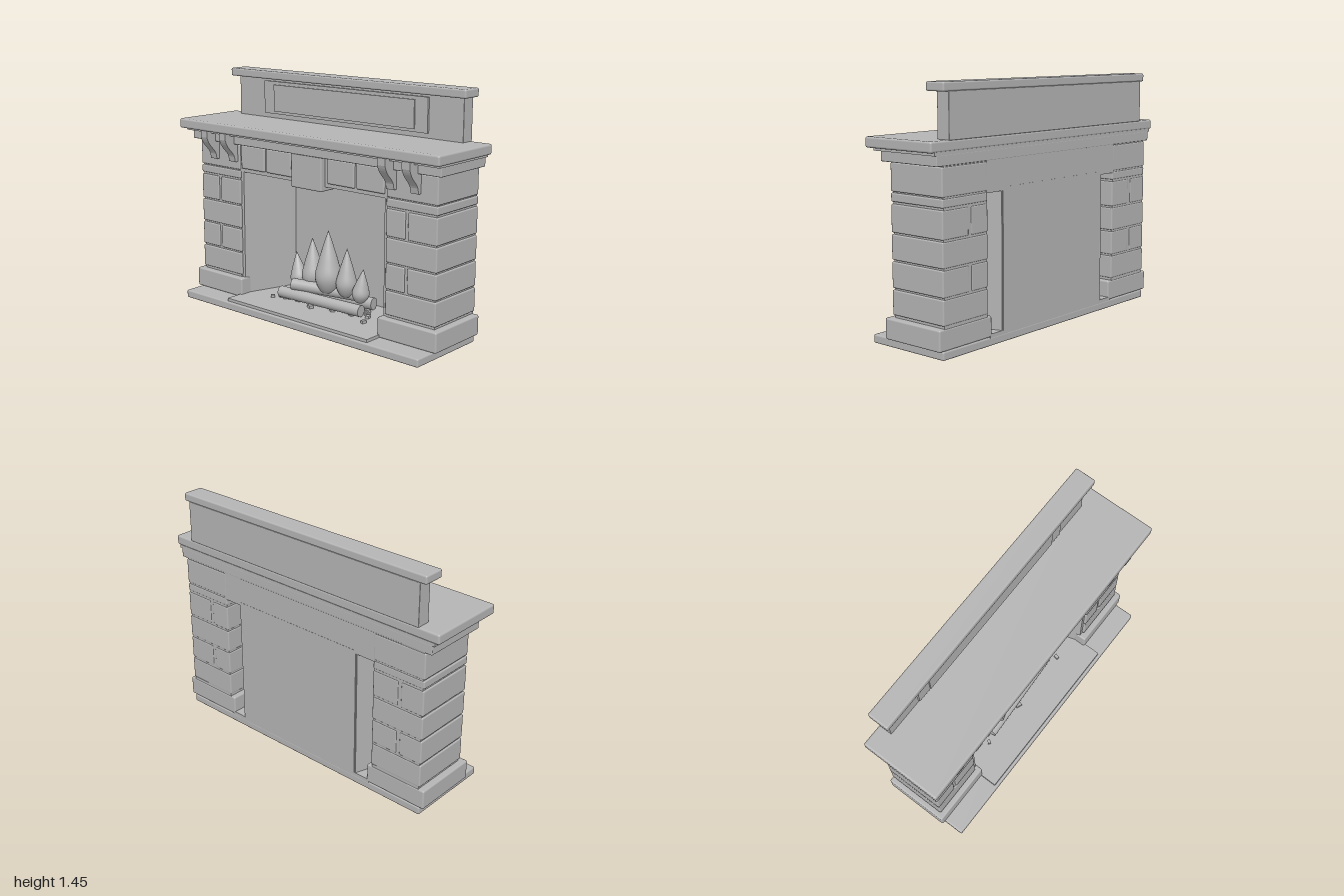
import * as THREE from 'three';
import { RoundedBoxGeometry } from 'three/addons/geometries/RoundedBoxGeometry.js';

export function createModel() {
  const root = new THREE.Group();
  root.name = 'fireplace';
  const stone = new THREE.MeshStandardMaterial({ color: 0xb4b4b4 });
  stone.name = 'grey stone';
  const BACK = -0.27;

  const add = (name, geometry, parent = root) => {
    const mesh = new THREE.Mesh(geometry, stone);
    mesh.name = name;
    parent.add(mesh);
    return mesh;
  };
  // Boxes are given by their limits; r is the softened edge
  const block = (name, x0, x1, y0, y1, z0, z1, r = 0, parent = root) => {
    const size = [x1 - x0, y1 - y0, z1 - z0];
    const geo = r ? new RoundedBoxGeometry(...size, 2, r) : new THREE.BoxGeometry(...size);
    const mesh = add(name, geo, parent);
    mesh.position.set((x0 + x1) / 2, (y0 + y1) / 2, (z0 + z1) / 2);
    return mesh;
  };
  const group = (name) => {
    const g = new THREE.Group();
    g.name = name;
    root.add(g);
    return g;
  };

  // Base and hearth
  block('baseSlab', -0.925, 0.925, 0, 0.05, BACK, 0.27, 0.01);
  block('hearthPlate', -0.56, 0.56, 0.045, 0.068, BACK, 0.253);

  // Pillars: a core wrapped in courses of stone, some split in two
  const courses = [
    [0.185, 0.325, false], [0.335, 0.48, true], [0.49, 0.63, false],
    [0.64, 0.795, true], [0.807, 0.855, false], [0.862, 1.02, false],
  ];
  for (const side of [-1, 1]) {
    const pillar = group(side > 0 ? 'leftPillar' : 'rightPillar');
    const span = (a, b) => (side > 0 ? [a, b] : [-b, -a]);
    block('plinth', ...span(0.545, 0.952), 0.05, 0.17, BACK, 0.145, 0.01, pillar);
    block('pillarCore', ...span(0.58, 0.912), 0.06, 1.03, BACK + 0.003, 0.106, 0, pillar);
    const [x0, x1] = span(0.575, 0.922);
    const joint = side > 0 ? 0.715 : -0.76;
    for (const [y0, y1, split] of courses) {
      const parts = split ? [[x0, joint - 0.01], [joint + 0.01, x1]] : [[x0, x1]];
      for (const [a, b] of parts) block('pillarStone', a, b, y0, y1, BACK, 0.115, 0.008, pillar);
    }
  }

  // Firebox: back wall and splayed sides
  block('fireboxBack', -0.45, 0.45, 0.05, 0.87, BACK, BACK + 0.02);
  for (const side of [-1, 1]) {
    const plan = new THREE.Shape();
    plan.moveTo(side * 0.555, -0.1);
    plan.lineTo(side * 0.44, 0.26);
    plan.lineTo(side * 0.46, 0.268);
    plan.lineTo(side * 0.582, -0.09);
    plan.lineTo(side * 0.582, -0.1);
    const geo = new THREE.ExtrudeGeometry(plan, { depth: 0.8, bevelEnabled: false });
    geo.rotateX(-Math.PI / 2);
    add('fireboxSide', geo).position.y = 0.06;
  }

  // Lintel with face stones and a keystone
  block('lintelCore', -0.585, 0.585, 0.85, 1.03, BACK + 0.001, 0.105);
  for (const [a, b] of [[0.14, 0.345], [0.36, 0.56]]) {
    block('lintelStone', a, b, 0.873, 1.022, 0.03, 0.118, 0.01);
    block('lintelStone', -b, -a, 0.873, 1.022, 0.03, 0.118, 0.01);
  }
  block('keystone', -0.12, 0.12, 0.823, 1.03, 0.02, 0.14, 0.01);

  // Mantel shelf over stepped mouldings
  block('lowerMoulding', -0.96, 0.96, 1.024, 1.083, BACK, 0.146, 0.005);
  block('upperMoulding', -0.975, 0.975, 1.08, 1.1, BACK, 0.182);
  block('mantelShelf', -1, 1, 1.095, 1.155, BACK, 0.225, 0.012);

  // Curved corbels
  const profile = new THREE.Shape();
  profile.moveTo(0.1, 1.098);
  profile.lineTo(0.218, 1.098);
  profile.lineTo(0.218, 1.055);
  profile.bezierCurveTo(0.2, 0.995, 0.16, 0.985, 0.143, 0.945);
  profile.lineTo(0.137, 0.912);
  profile.lineTo(0.1, 0.912);
  const corbelGeo = new THREE.ExtrudeGeometry(profile, { depth: 0.054, bevelEnabled: false, curveSegments: 10 });
  corbelGeo.translate(0, 0, -0.027);
  corbelGeo.rotateY(-Math.PI / 2);
  for (const x of [-0.783, -0.618, 0.618, 0.783]) add('corbel', corbelGeo).position.x = x;

  // Overmantel with raised panel and cap
  block('overmantel', -0.867, 0.867, 1.152, 1.405, BACK, -0.185, 0.004);
  block('overmantelPanel', -0.635, 0.635, 1.183, 1.387, -0.19, -0.172);
  block('overmantelInnerPanel', -0.547, 0.547, 1.2, 1.367, -0.175, -0.164);
  block('overmantelCap', -0.905, 0.905, 1.402, 1.452, BACK, -0.14, 0.01);

  // Logs between two end points
  const fire = group('fire');
  const log = (from, to, radius) => {
    const a = new THREE.Vector3(...from), b = new THREE.Vector3(...to);
    const dir = b.clone().sub(a);
    const mesh = add('log', new THREE.CylinderGeometry(radius, radius, dir.length(), 20), fire);
    mesh.position.copy(a).add(b).multiplyScalar(0.5);
    mesh.quaternion.setFromUnitVectors(new THREE.Vector3(0, 1, 0), dir.normalize());
  };
  log([-0.31, 0.113, 0.03], [0.31, 0.113, 0], 0.035);
  log([-0.26, 0.108, -0.1], [0.27, 0.108, -0.17], 0.037);
  log([-0.22, 0.177, 0.02], [0.2, 0.16, -0.11], 0.036);

  // Teardrop flames: x, foot height, tip height, radius, lean
  const flameProfile = new THREE.SplineCurve([
    [0.001, 0], [0.6, 0.07], [1, 0.27], [0.75, 0.52], [0.33, 0.8], [0.001, 1],
  ].map(([x, y]) => new THREE.Vector2(x, y))).getPoints(24);
  for (const p of flameProfile) p.x = Math.max(p.x, 0);
  const flames = [
    [0.01, 0.14, 0.545, 0.082, 0], [-0.13, 0.14, 0.47, 0.07, 0.02], [0.135, 0.14, 0.452, 0.064, -0.02],
    [-0.24, 0.13, 0.36, 0.055, 0.13], [0.24, 0.13, 0.35, 0.053, -0.13],
  ];
  flames.forEach(([x, y0, y1, r, lean], i) => {
    const flame = add('flame', new THREE.LatheGeometry(flameProfile, 24), fire);
    flame.scale.set(r, y1 - y0, r);
    flame.position.set(x, y0, i === 0 ? -0.05 : -0.07);
    flame.rotation.z = lean;
  });

  // Scattered embers
  let seed = 7;
  const rand = () => (seed = (seed * 16807) % 2147483647) / 2147483647;
  for (let i = 0; i < 22; i++) {
    const w = 0.025 + rand() * 0.02;
    const ember = add('ember', new THREE.BoxGeometry(w, 0.018, w * 0.7), fire);
    ember.position.set(-0.36 + (i / 21) * 0.73, 0.076, -0.15 + rand() * 0.22);
    ember.rotation.y = rand() * 3;
  }
  return root;
}
